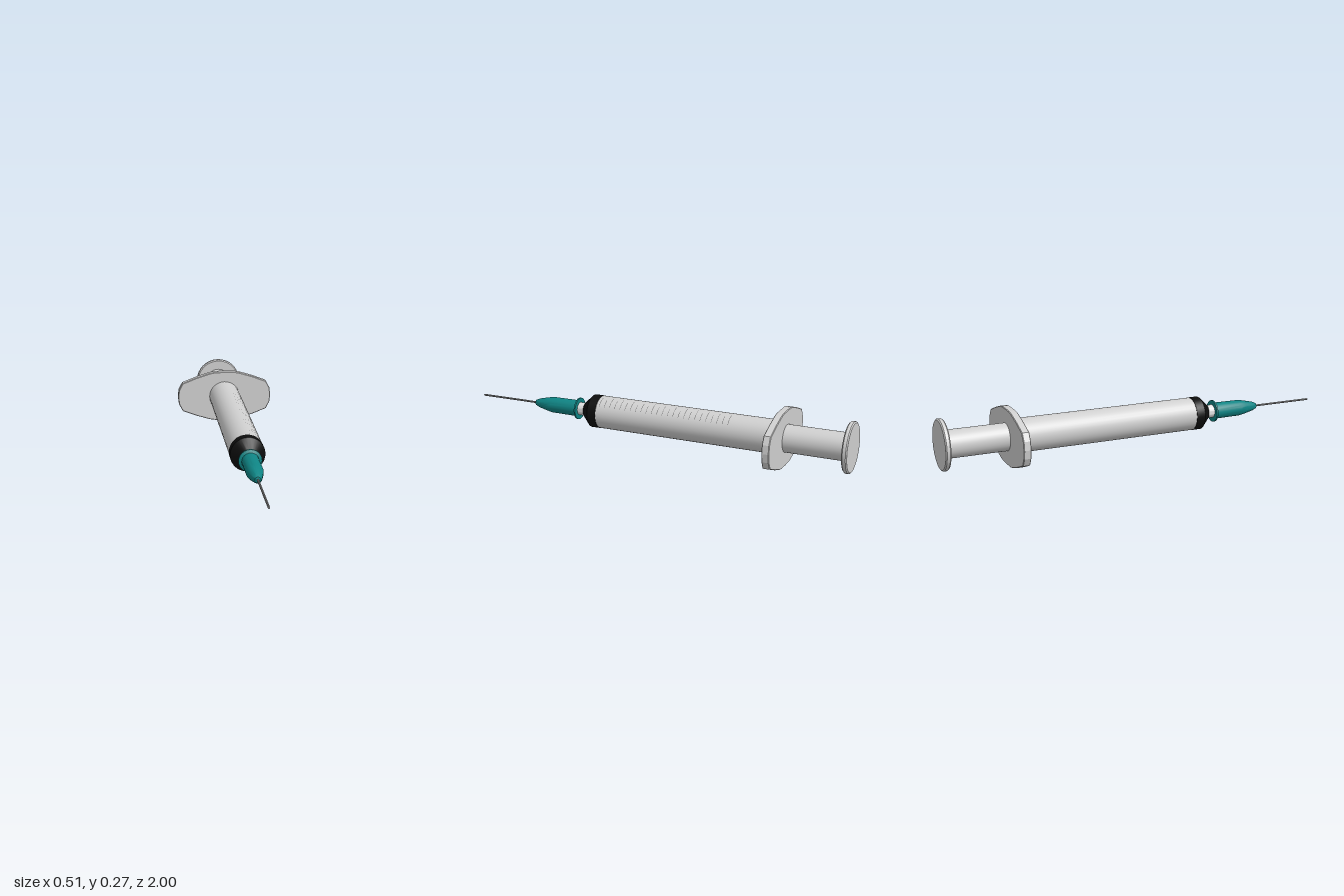
import * as THREE from 'three';
import { toCreasedNormals } from 'three/addons/utils/BufferGeometryUtils.js';

const AXIS_Y = 0.137;

function material(name, color, side = THREE.FrontSide) {
  const m = new THREE.MeshStandardMaterial({ color, side });
  m.name = name;
  return m;
}

export function createModel() {
  const plastic = material('grey plastic', 0xd0d0d0);
  const tip = material('pale plastic', 0xe2e2e2);
  const rubber = material('black rubber', 0x0d0d0d);
  const teal = material('teal plastic', 0x0f8585);
  const steel = material('needle steel', 0x8c8c8c);
  const ink = material('scale ink', 0x606060, THREE.DoubleSide);

  const model = new THREE.Group();
  model.name = 'syringe';
  const body = new THREE.Group();
  body.name = 'body';
  body.position.y = AXIS_Y;
  model.add(body);

  const add = (name, geometry, mat, parent = body) => {
    const mesh = new THREE.Mesh(geometry, mat);
    mesh.name = name;
    parent.add(mesh);
    return mesh;
  };

  // Turned part along z; profile is [radius, z] from back to front
  const turned = (name, profile, mat, sides = 32) => {
    const points = profile.map(([r, z]) => new THREE.Vector2(r, z));
    const g = new THREE.LatheGeometry(points, sides).rotateX(Math.PI / 2);
    return add(name, toCreasedNormals(g, 0.5), mat);
  };

  // Plunger with thumb rest
  turned('thumbRest', [[0, -1], [0.116, -1], [0.122, -0.995], [0.122, -0.98], [0.116, -0.974], [0, -0.974]], plastic);
  turned('plunger', [[0.067, -0.976], [0.067, -0.66]], plastic);

  // Finger flange, one quarter outline mirrored to all four
  const quarter = [[0.252, 0], [0.247, 0.04], [0.228, 0.076], [0.15, 0.106], [0.08, 0.128], [0.05, 0.133], [0, 0.134]];
  const top = [...quarter, ...quarter.slice(0, -1).reverse().map(([x, y]) => [-x, y])];
  const outline = [...top, ...top.slice(1, -1).reverse().map(([x, y]) => [x, -y])];
  const flange = new THREE.ExtrudeGeometry(
    new THREE.Shape(outline.map(([x, y]) => new THREE.Vector2(x, y))),
    { depth: 0.03, bevelEnabled: true, bevelThickness: 0.003, bevelSize: 0.003, bevelSegments: 1 }
  );
  add('fingerFlange', flange, plastic).position.z = -0.678;

  // Barrel, black shoulder and nozzle
  turned('barrel', [[0.082, -0.66], [0.082, 0.29]], plastic);
  turned('shoulder', [[0.082, 0.289], [0.083, 0.29], [0.083, 0.335], [0.04, 0.38], [0, 0.38]], rubber);
  turned('nozzle', [[0.034, 0.37], [0.032, 0.43]], tip);

  // Needle hub with collar
  turned('hub', [
    [0, 0.417], [0.055, 0.417], [0.055, 0.425], [0.041, 0.431], [0.04, 0.57],
    [0.035, 0.6], [0.023, 0.652], [0.014, 0.673], [0, 0.676],
  ], teal, 24);
  turned('needle', [[0.005, 0.67], [0.005, 0.992], [0, 1]], steel, 10);

  // Scale ticks wrapped on the upper left of the barrel
  const scale = new THREE.Group();
  scale.name = 'scale';
  body.add(scale);
  for (let i = 0; i <= 24; i++) {
    const start = i % 2 ? 0.42 : 0.2;
    const end = 0.95;
    const arc = new THREE.CylinderGeometry(0.0825, 0.0825, 0.002, 8, 1, true, Math.PI - end, end - start);
    arc.rotateX(Math.PI / 2);
    add('tick', arc, ink, scale).position.z = -0.411 + i * 0.0285;
  }

  return model;
}
